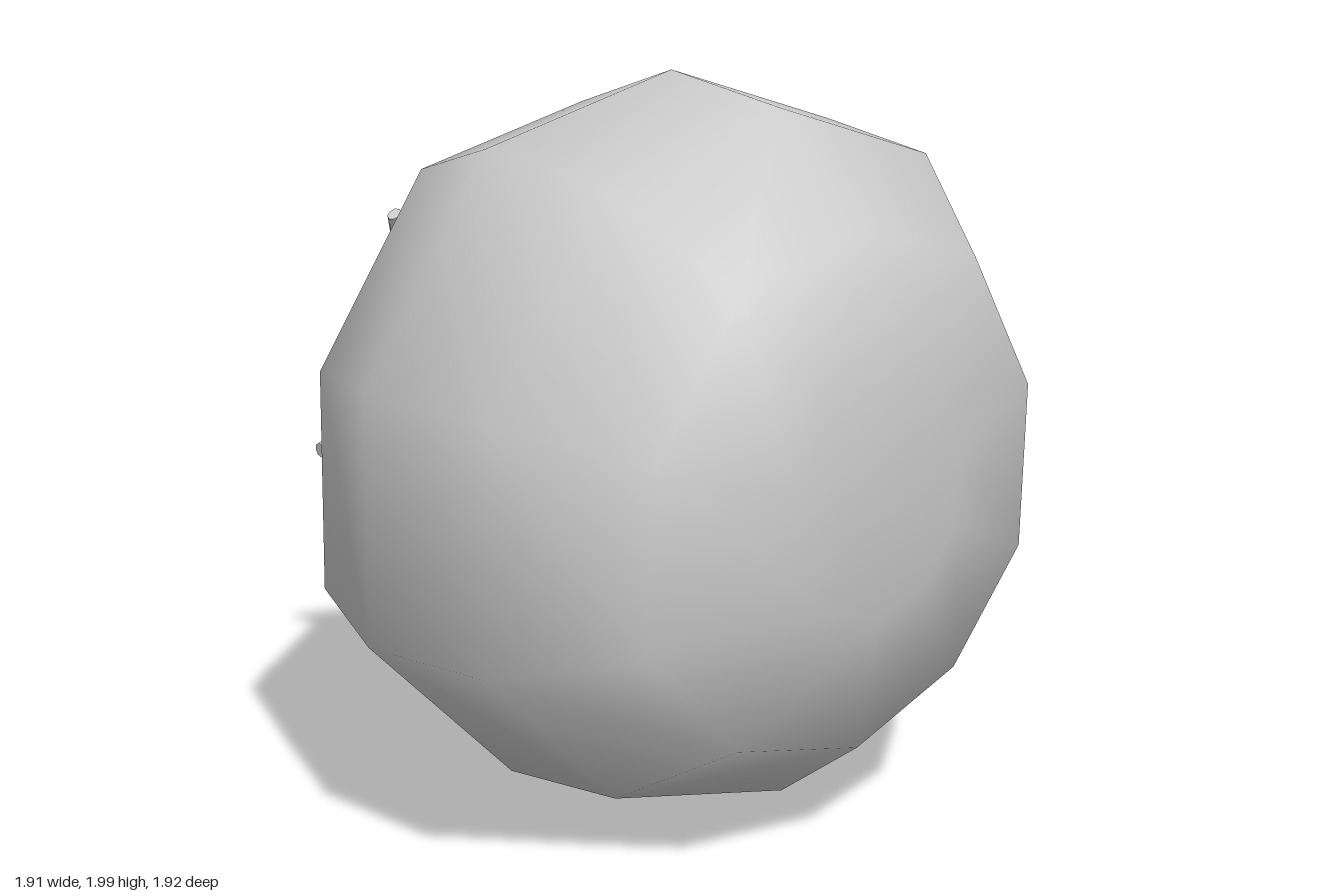
import * as THREE from 'three';

const V = (x, y, z) => new THREE.Vector3(x, y, z);
const material = new THREE.MeshStandardMaterial({ color: 0xcccccc });

// Smooth skin over a row of closed loops, closed by a fan at both ends.
// sharpCaps gives the end fans their own vertices so the rims stay crisp.
function skin(name, loops, startTip, endTip, sharpCaps) {
  const n = loops[0].length;
  const points = loops.flat();
  const index = [];
  for (let i = 0; i < loops.length - 1; i++) {
    for (let j = 0; j < n; j++) {
      const k = (j + 1) % n;
      const a = i * n + j, b = i * n + k, c = b + n, d = a + n;
      index.push(a, b, c, a, c, d);
    }
  }
  const addCap = (loop, first, tip, flip) => {
    if (sharpCaps) {
      first = points.length;
      points.push(...loop);
    }
    const t = points.push(tip) - 1;
    for (let j = 0; j < n; j++) {
      const a = first + j, b = first + (j + 1) % n;
      index.push(t, flip ? b : a, flip ? a : b);
    }
  };
  addCap(loops[0], 0, startTip, true);
  addCap(loops[loops.length - 1], (loops.length - 1) * n, endTip, false);
  const geometry = new THREE.BufferGeometry().setFromPoints(points);
  geometry.setIndex(index);
  geometry.computeVertexNormals();
  const mesh = new THREE.Mesh(geometry, material);
  mesh.name = name;
  return mesh;
}

// Elliptical tube along a path; sizes are [half width, half thickness] per point.
function taperedTube(name, path, sizes, up, sides) {
  const last = path.length - 1;
  const loops = path.map((p, i) => {
    const t = path[Math.min(i + 1, last)].clone().sub(path[Math.max(i - 1, 0)]).normalize();
    const u = up.clone().addScaledVector(t, -up.dot(t)).normalize();
    const s = u.clone().cross(t);
    const [w, h] = sizes[i];
    return Array.from({ length: sides }, (_, j) => {
      const a = (j / sides) * Math.PI * 2;
      return p.clone().addScaledVector(s, w * Math.cos(a)).addScaledVector(u, h * Math.sin(a));
    });
  });
  return skin(name, loops, path[0].clone(), path[last].clone(), true);
}

export function createModel() {
  const group = new THREE.Group();
  group.name = 'fruit';

  // Fruit body: a slightly irregular ten-sided outline scaled along z
  const outline = [
    [0, 1], [-0.59, 0.82], [-0.95, 0.25], [-0.96, -0.41], [-0.53, -0.85],
    [0.09, -0.99], [0.61, -0.78], [0.95, -0.34], [0.93, 0.32], [0.57, 0.85],
  ];
  // z, scale, tilt of z with x, tilt of z with y, shift in y
  const rings = [
    [-0.65, 0.4, 0.05, 0, 0],
    [-0.57, 0.63, 0.02, 0, 0],
    [-0.28, 0.9, 0.01, 0, 0],
    [0.11, 1, 0, 0.01, 0],
    [0.53, 0.93, -0.01, 0.025, -0.01],
    [0.85, 0.68, -0.025, 0.045, -0.03],
    [0.94, 0.31, -0.05, 0.05, -0.02],
  ];
  const bodyLoops = rings.map(([z, r, tx, ty, dy]) =>
    outline.map(([x, y]) => V(x * r, 1 + y * r + dy, z + tx * x * r + ty * y * r)));
  group.add(skin('body', bodyLoops, V(0, 0.98, -0.63), V(0, 0.98, 0.93), false));

  // Five leaves of the calyx: arching middle point and drooping tip
  const back = V(0, 0, -1);
  const base = V(0, 0.97, -0.66);
  const leaves = [
    [V(0.27, 1.23, -0.715), V(0.48, 1.44, -0.60)],
    [V(-0.27, 1.31, -0.71), V(-0.46, 1.59, -0.55)],
    [V(-0.32, 0.98, -0.72), V(-0.67, 0.92, -0.645)],
    [V(0.0, 0.68, -0.705), V(0.0, 0.37, -0.595)],
    [V(0.32, 0.96, -0.71), V(0.60, 0.87, -0.675)],
  ];
  const leafSizes = [[0.03, 0.03], [0.065, 0.035], [0.07, 0.035], [0.045, 0.03], [0.022, 0.018]];
  leaves.forEach(([mid, tip], i) => {
    const start = base.clone().lerp(mid, 0.08);
    const inner = base.clone().lerp(mid, 0.5).add(V(0, 0, -0.015));
    const outer = mid.clone().lerp(tip, 0.6);
    group.add(taperedTube(`calyxLeaf${i + 1}`, [start, inner, mid, outer, tip], leafSizes, back, 8));
  });

  // Stem: short, slightly bent, flared at its cut end
  const stemPath = [V(0, 0.98, -0.62), V(0, 0.97, -0.7), V(-0.015, 0.95, -0.79), V(-0.01, 0.955, -0.86), V(0.005, 0.98, -0.925)];
  const stemSizes = [[0.06, 0.06], [0.05, 0.05], [0.045, 0.045], [0.05, 0.05], [0.076, 0.076]];
  group.add(taperedTube('stem', stemPath, stemSizes, V(0, 1, 0), 10));

  return group;
}
